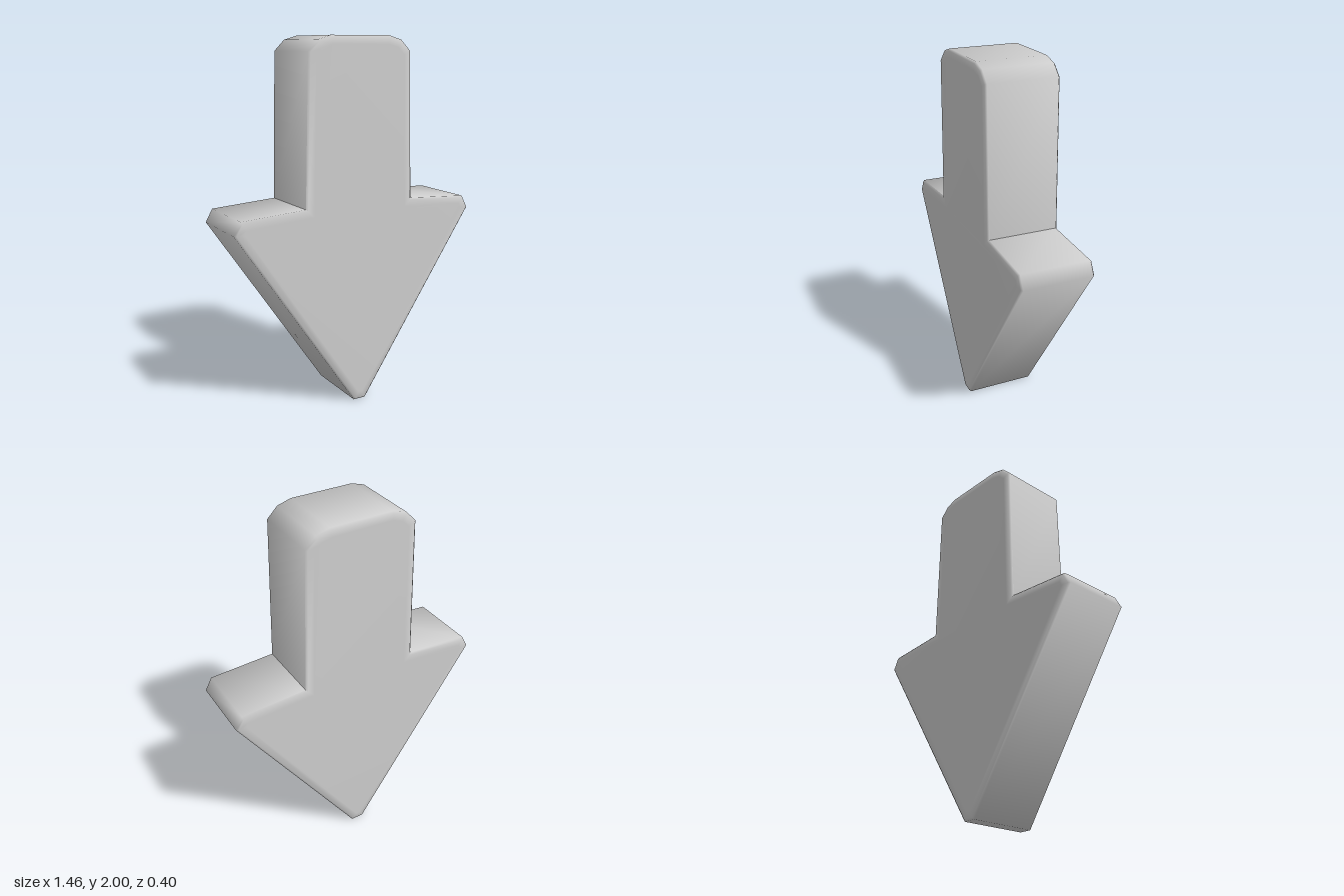
import * as THREE from 'three';
import { toCreasedNormals } from 'three/addons/utils/BufferGeometryUtils.js';

// Right half of the arrow outline, from the tip up to the top of the shaft
const HALF = [
  [0.036, 0], [0.73, 1.03], [0.692, 1.1], [0.328, 1.123],
  [0.308, 1.92], [0.25, 1.978], [0.175, 2],
].map(([x, y]) => new THREE.Vector2(x, y));

// Move every side of a counter-clockwise outline inwards by d, with mitred corners
function inset(outline, d) {
  const n = outline.length;
  return outline.map((p, i) => {
    const a = p.clone().sub(outline[(i + n - 1) % n]).normalize();
    const b = outline[(i + 1) % n].clone().sub(p).normalize();
    const na = new THREE.Vector2(-a.y, a.x);
    const nb = new THREE.Vector2(-b.y, b.x);
    const k = d / (1 + na.dot(nb));
    return p.clone().add(na.add(nb).multiplyScalar(k));
  });
}

function arrowGeometry() {
  const outline = [...HALF, ...HALF.map(p => new THREE.Vector2(-p.x, p.y)).reverse()];
  const n = outline.length;

  // Rings from front to back: [inset, z]; soft border, small bevel, straight wall
  const rings = [[0.045, 0.2], [0.01, 0.199], [0, 0.19], [0, -0.19], [0.01, -0.199], [0.045, -0.2]];
  const positions = [];
  const index = [];
  for (const [d, z] of rings) {
    for (const p of inset(outline, d)) positions.push(p.x, p.y, z);
  }

  // Walls between neighbouring rings
  for (let k = 0; k < rings.length - 1; k++) {
    for (let i = 0; i < n; i++) {
      const j = (i + 1) % n;
      const a = k * n + i, b = k * n + j, c = b + n, d = a + n;
      index.push(a, d, c, a, c, b);
    }
  }

  // Front and back faces
  const last = (rings.length - 1) * n;
  for (const [a, b, c] of THREE.ShapeUtils.triangulateShape(inset(outline, rings[0][0]), [])) {
    index.push(a, b, c, last + a, last + c, last + b);
  }

  const geometry = new THREE.BufferGeometry();
  geometry.setAttribute('position', new THREE.Float32BufferAttribute(positions, 3));
  geometry.setIndex(index);
  // Round off outer corners, keep the inner corners under the shaft sharp
  return toCreasedNormals(geometry, 1.3);
}

export function createModel() {
  const group = new THREE.Group();
  group.name = 'downArrow';
  const grey = new THREE.MeshStandardMaterial({ color: 0xcccccc });
  grey.name = 'light grey';
  const arrow = new THREE.Mesh(arrowGeometry(), grey);
  arrow.name = 'arrow';
  group.add(arrow);
  return group;
}
